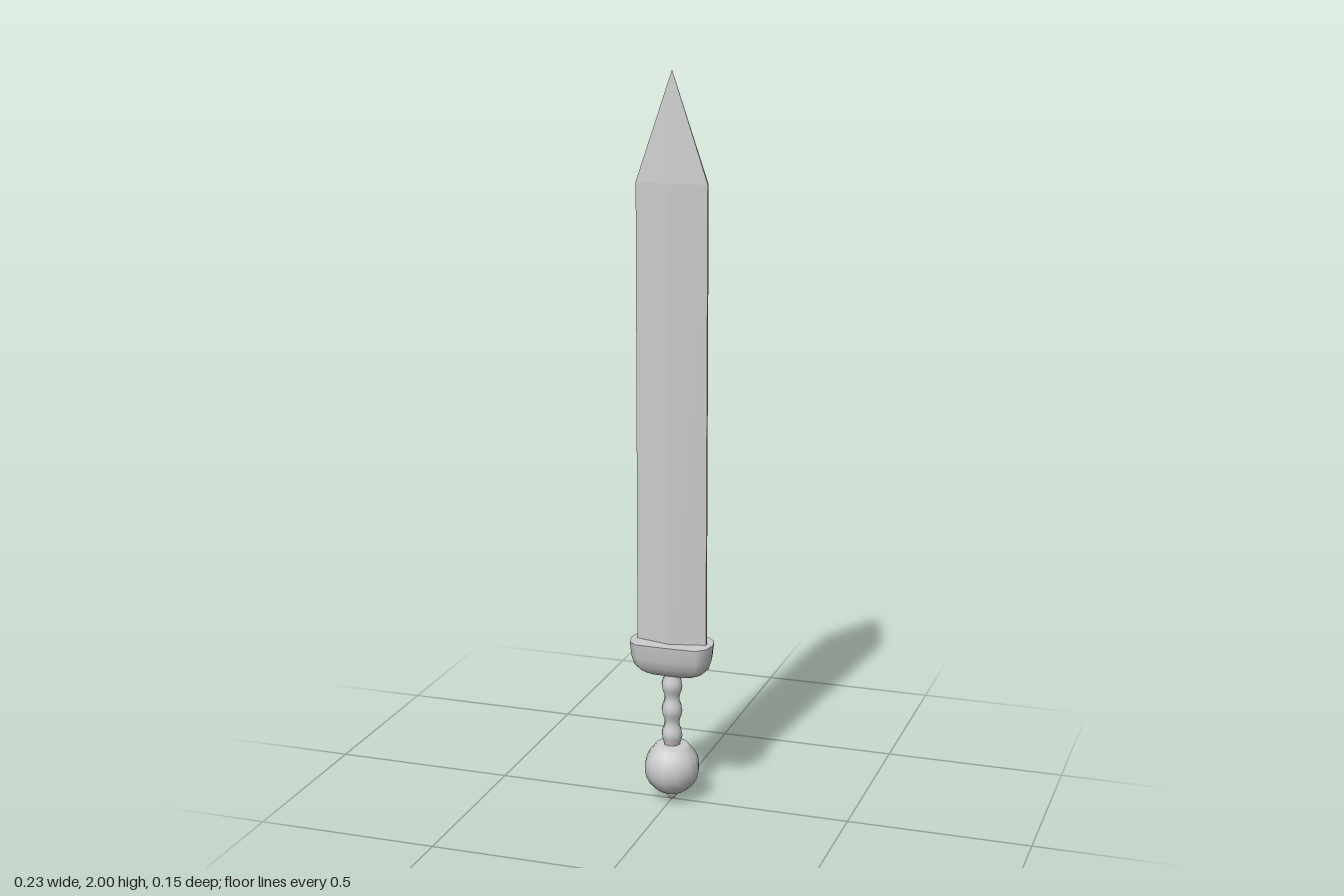
import * as THREE from 'three';

const material = new THREE.MeshStandardMaterial({ color: 0xcccccc });
const flatMaterial = new THREE.MeshStandardMaterial({ color: 0xcccccc, flatShading: true });

// Skin a stack of equal-length rings ([x, y, z] points, running from +x towards +z).
function loft(rings) {
  const n = rings[0].length;
  const index = [];
  for (let r = 0; r < rings.length - 1; r++) {
    for (let i = 0; i < n; i++) {
      const a = r * n + i, b = r * n + (i + 1) % n;
      index.push(a, a + n, b, b, a + n, b + n);
    }
  }
  const geometry = new THREE.BufferGeometry();
  geometry.setAttribute('position', new THREE.Float32BufferAttribute(rings.flat(2), 3));
  geometry.setIndex(index);
  geometry.computeVertexNormals();
  return geometry;
}

function addPart(group, name, geometry, mat = material) {
  const mesh = new THREE.Mesh(geometry, mat);
  mesh.name = name;
  group.add(mesh);
  return mesh;
}

// Ridged blade section with narrow flats along both cutting edges.
function bladeRing(y, w, d, edge) {
  return [[w, edge], [0, d], [-w, edge], [-w, -edge], [0, -d], [w, -edge]].map(([x, z]) => [x, y, z]);
}

// Guard plan: a rounded oblong, scaled separately in width and depth.
const guardPlan = [
  [1, 0], [0.93, 0.62], [0.74, 1], [0, 1.04], [-0.74, 1], [-0.93, 0.62],
  [-1, 0], [-0.93, -0.62], [-0.74, -1], [0, -1.04], [0.74, -1], [0.93, -0.62],
];
const guardRing = (y, w, d) => guardPlan.map(([x, z]) => [x * w, y, z * d]);

const lathe = (points, sides) =>
  new THREE.LatheGeometry(points.map(([r, y]) => new THREE.Vector2(r, y)), sides);

export function createModel() {
  const sword = new THREE.Group();
  sword.name = 'sword';

  // Blade, straight up to the shoulders and then drawn to a point
  addPart(sword, 'blade', loft([
    bladeRing(0.45, 0.098, 0.028, 0.004),
    bladeRing(1.71, 0.098, 0.027, 0.004),
    bladeRing(2, 0, 0, 0),
  ]), flatMaterial);

  // Bowl-shaped guard with a flat top
  addPart(sword, 'guard', loft([
    guardRing(0.365, 0, 0),
    guardRing(0.366, 0.065, 0.022),
    guardRing(0.375, 0.088, 0.034),
    guardRing(0.392, 0.105, 0.046),
    guardRing(0.418, 0.113, 0.055),
    guardRing(0.46, 0.117, 0.06),
  ]));
  addPart(sword, 'guardTop', loft([
    guardRing(0.46, 0.117, 0.06),
    guardRing(0.46, 0, 0),
  ]));

  // Grip with three finger swells
  const gripProfile = [];
  for (let i = 0; i <= 18; i++) {
    const t = i / 18;
    gripProfile.push([0.0255 - 0.0045 * Math.cos(t * Math.PI * 6), 0.155 + t * 0.215]);
  }
  addPart(sword, 'grip', lathe(gripProfile, 8));

  // Ball pommel, cut flat where it meets the grip
  const pommelProfile = [[0, 0.018]];
  for (let i = 1; i <= 10; i++) {
    const a = -Math.PI / 2 + i * 0.242;
    pommelProfile.push([0.077 * Math.cos(a), 0.095 + 0.077 * Math.sin(a)]);
  }
  pommelProfile.push([0.045, 0.162], [0, 0.163]);
  addPart(sword, 'pommel', lathe(pommelProfile, 12));

  // Peened end of the tang below the pommel
  addPart(sword, 'tangButton', lathe(
    [[0, 0], [0.007, 0.001], [0.011, 0.008], [0.017, 0.016], [0.018, 0.024]], 8));

  return sword;
}
